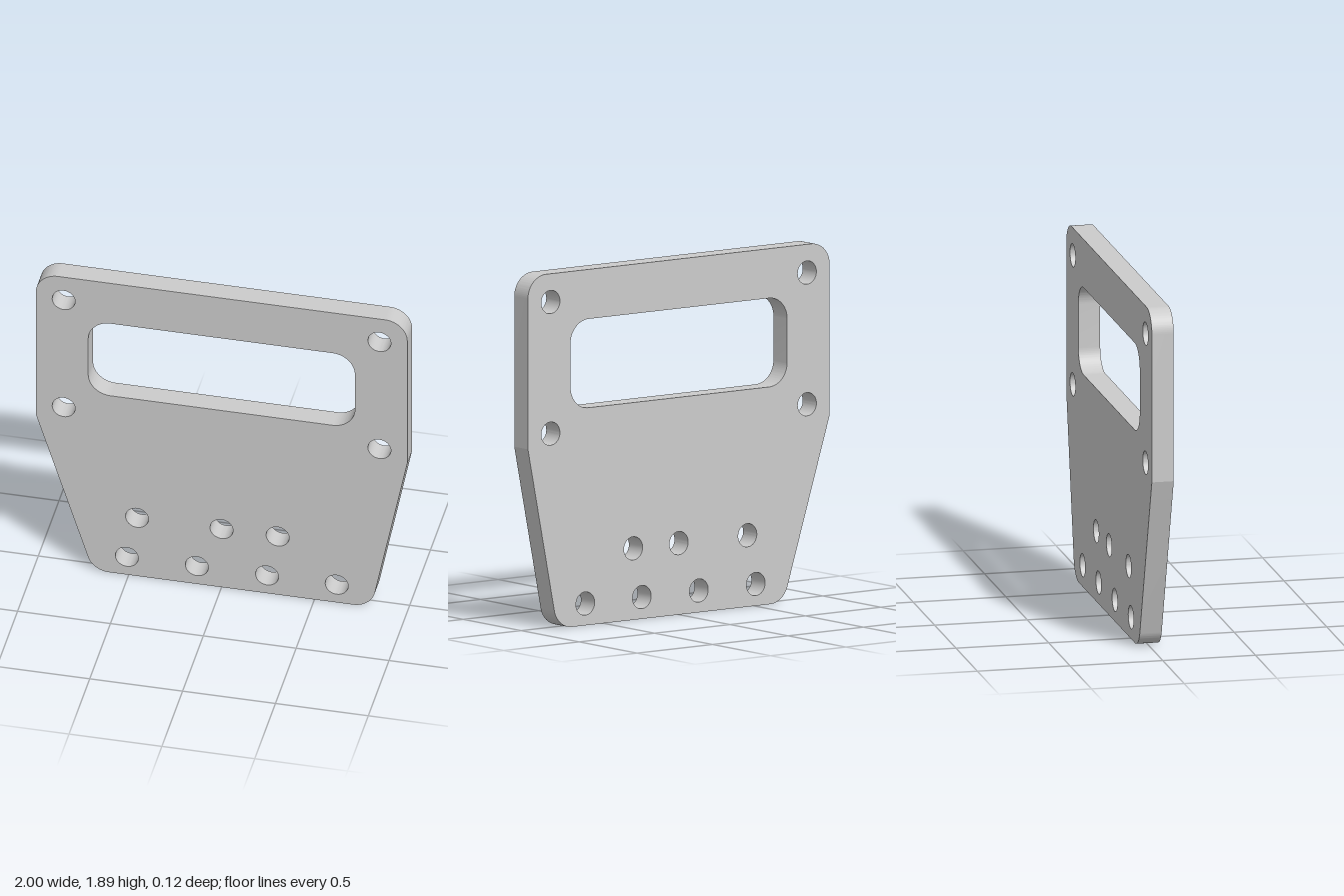
import * as THREE from 'three';
import { toCreasedNormals } from 'three/addons/utils/BufferGeometryUtils.js';

const THICKNESS = 0.118;
const FILLET = 0.12;
const HOLE_RADIUS = 0.062;

// Traces a counter-clockwise convex polygon, rounding each corner [x, y, radius]
function roundedPolygon(path, corners) {
  const n = corners.length;
  corners.forEach(([x, y, r], i) => {
    const p = new THREE.Vector2(x, y);
    const a = new THREE.Vector2(...corners[(i + n - 1) % n]).sub(p).normalize();
    const b = new THREE.Vector2(...corners[(i + 1) % n]).sub(p).normalize();
    if (!r) {
      if (i === 0) path.moveTo(x, y); else path.lineTo(x, y);
      return;
    }
    const half = Math.acos(a.dot(b)) / 2;
    const start = p.clone().addScaledVector(a, r / Math.tan(half));
    const centre = p.clone().addScaledVector(a.clone().add(b).normalize(), r / Math.sin(half));
    if (i === 0) path.moveTo(start.x, start.y); else path.lineTo(start.x, start.y);
    const from = Math.atan2(-a.x, a.y) + Math.PI;
    const begin = Math.atan2(start.y - centre.y, start.x - centre.x);
    path.absarc(centre.x, centre.y, r, begin, begin + Math.PI - 2 * half, false);
  });
  path.closePath();
  return path;
}

export function createModel() {
  const group = new THREE.Group();
  group.name = 'mountingPlate';

  // Outline: square top, unevenly tapered lower half
  const outline = roundedPolygon(new THREE.Shape(), [
    [-0.693, 0, FILLET],
    [0.806, 0, FILLET],
    [1, 0.97, 0],
    [1, 1.89, FILLET],
    [-1, 1.89, FILLET],
    [-1, 0.97, 0],
  ]);

  // Rounded rectangular window
  outline.holes.push(roundedPolygon(new THREE.Path(), [
    [-0.718, 1.155, FILLET],
    [0.718, 1.155, FILLET],
    [0.718, 1.627, FILLET],
    [-0.718, 1.627, FILLET],
  ]));

  // Bolt holes, listed row by row
  const rows = [
    [1.74, [-0.85, 0.85]],
    [1.04, [-0.85, 0.85]],
    [0.38, [-0.455, 0, 0.302]],
    [0.116, [-0.51, -0.133, 0.245, 0.62]],
  ];
  for (const [y, xs] of rows) {
    for (const x of xs) {
      outline.holes.push(new THREE.Path().absarc(x, y, HOLE_RADIUS, 0, Math.PI * 2, false));
    }
  }

  // Flat plate with smooth fillets and bores
  const geometry = new THREE.ExtrudeGeometry(outline, {
    depth: THICKNESS, bevelEnabled: false, curveSegments: 20,
  });
  geometry.translate(0, 0, -THICKNESS / 2);
  const plate = new THREE.Mesh(
    toCreasedNormals(geometry, 0.4 * Math.PI / 2 * 0.3),
    new THREE.MeshStandardMaterial({ color: 0xcccccc }),
  );
  plate.name = 'plate';
  group.add(plate);
  return group;
}
